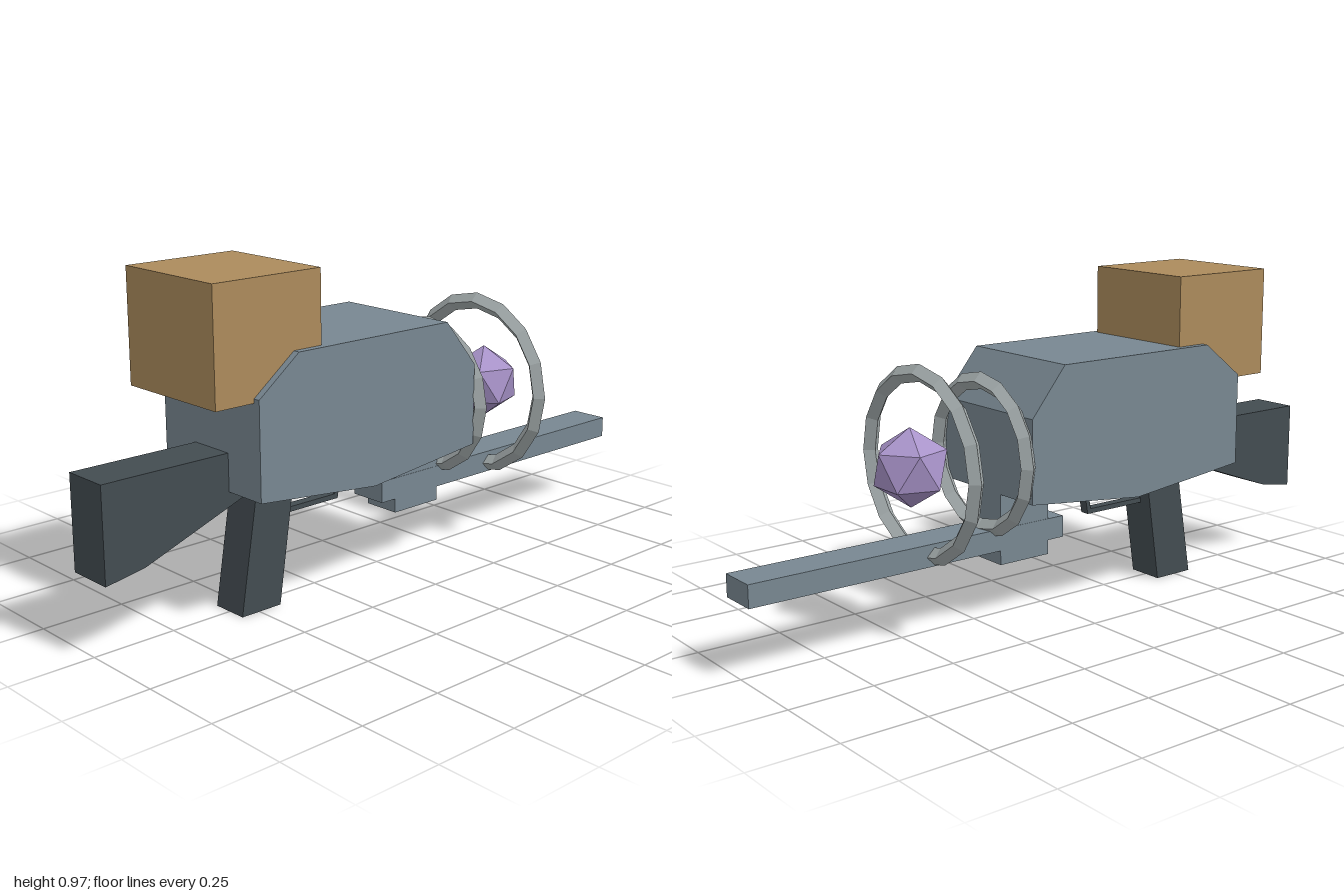
import * as THREE from 'three';

const paint = (color) => new THREE.MeshStandardMaterial({ color, flatShading: true });

export function createModel() {
  const model = new THREE.Group();
  const steel = paint(0x788791);
  const dark = paint(0x434c51);
  const tan = paint(0xac8b5c);
  const silver = paint(0xa3abac);
  const violet = paint(0xa893c9);

  function add(name, geometry, material, x = 0, y = 0, z = 0) {
    const mesh = new THREE.Mesh(geometry, material);
    mesh.name = name;
    mesh.position.set(x, y, z);
    model.add(mesh);
    return mesh;
  }

  // Side profile in x/y, extruded symmetrically across z
  function slab(name, points, width, material) {
    const shape = new THREE.Shape(points.map(([x, y]) => new THREE.Vector2(x, y)));
    const geometry = new THREE.ExtrudeGeometry(shape, { depth: width, bevelEnabled: false });
    geometry.translate(0, 0, -width / 2);
    return add(name, geometry, material);
  }

  // Box given by its x and y limits
  function block(name, x0, x1, y0, y1, width, material) {
    const geometry = new THREE.BoxGeometry(x1 - x0, y1 - y0, width);
    return add(name, geometry, material, (x0 + x1) / 2, (y0 + y1) / 2);
  }

  // Main housing
  slab('body', [
    [-0.605, 0.377], [-0.2, 0.335], [0.195, 0.377], [0.195, 0.62],
    [0.08, 0.76], [-0.47, 0.76], [-0.605, 0.655],
  ], 0.415, steel);

  // Shoulder stock and pistol grip
  slab('stock', [
    [-1, 0.215], [-0.88, 0.235], [-0.51, 0.37], [-0.51, 0.485], [-1, 0.485],
  ], 0.143, dark);
  slab('grip', [
    [-0.56, 0], [-0.425, 0], [-0.365, 0.39], [-0.495, 0.39],
  ], 0.115, dark);

  // Trigger and its guard
  slab('triggerGuard', [
    [-0.39, 0.246], [-0.17, 0.246], [-0.152, 0.345], [-0.167, 0.345],
    [-0.181, 0.261], [-0.39, 0.261],
  ], 0.03, dark);
  slab('trigger', [
    [-0.312, 0.3], [-0.296, 0.3], [-0.3, 0.36], [-0.32, 0.36],
  ], 0.024, tan);

  // Box on the rear top
  block('crate', -0.728, -0.375, 0.643, 0.968, 0.373, tan);

  // Lower rail and the bracket carrying it
  block('rail', -0.035, 0.998, 0.21, 0.275, 0.12, steel);
  block('railBracket', 0.02, 0.195, 0.167, 0.4, 0.118, steel);

  // Faceted rings in front of the housing
  for (const [name, x, radius] of [['innerRing', 0.216, 0.215], ['outerRing', 0.425, 0.26]]) {
    const ring = new THREE.TorusGeometry(radius, 0.025, 4, 16);
    ring.rotateY(Math.PI / 2);
    add(name, ring, silver, x, 0.487);
  }

  // Gem with one corner pointing straight up
  const gem = add('gem', new THREE.IcosahedronGeometry(0.114, 0), violet, 0.46, 0.486);
  gem.rotation.z = -Math.atan(2 / (1 + Math.sqrt(5)));

  return model;
}
